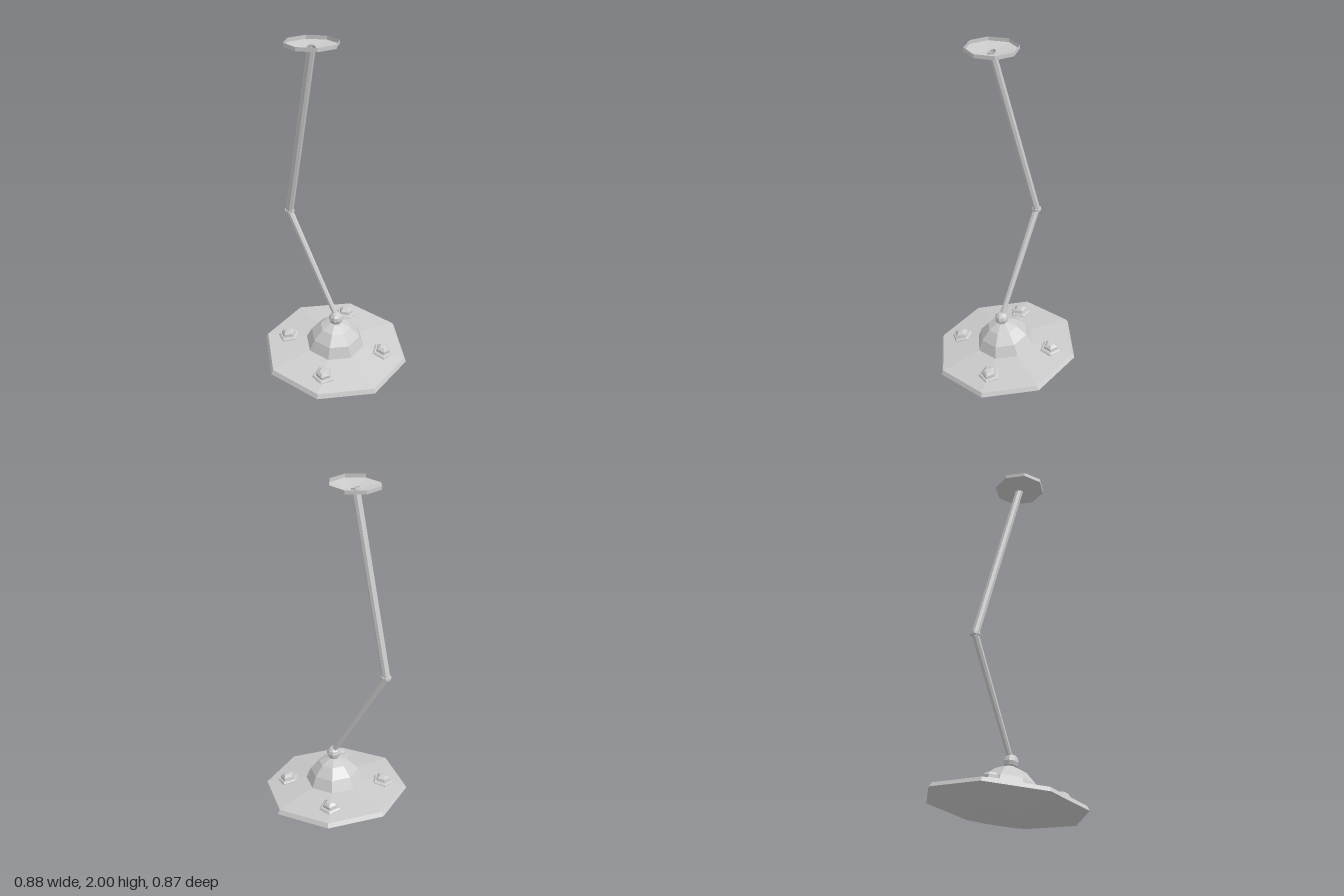
import * as THREE from 'three';

const material = new THREE.MeshStandardMaterial({ color: 0xcccccc, flatShading: true, side: THREE.DoubleSide });
const UP = new THREE.Vector3(0, 1, 0);

function part(name, geometry) {
  const mesh = new THREE.Mesh(geometry, material);
  mesh.name = name;
  return mesh;
}

// faceted turned shape from [radius, height] pairs, listed bottom to top
function turned(name, profile, sides) {
  return part(name, new THREE.LatheGeometry(profile.map(([r, y]) => new THREE.Vector2(r, y)), sides));
}

// hollow tapered tube between two points
function rod(name, from, to, r0, r1) {
  const dir = to.clone().sub(from);
  const mesh = part(name, new THREE.CylinderGeometry(r1, r0, dir.length(), 8, 1, true));
  mesh.position.copy(from).addScaledVector(dir, 0.5);
  mesh.quaternion.setFromUnitVectors(UP, dir.normalize());
  return mesh;
}

export function createModel() {
  const model = new THREE.Group();
  model.name = 'hangingSaucerLamp';

  // tilted saucer shade with everything fixed to it
  const shade = new THREE.Group();
  shade.name = 'saucerShade';
  shade.position.y = 0.095;
  shade.quaternion.setFromUnitVectors(UP, new THREE.Vector3(0.043, 1, 0.115).normalize());
  shade.rotateY(-0.07);
  model.add(shade);

  shade.add(turned('saucerBody', [[0, -0.07], [0.2, -0.07], [0.441, -0.012], [0.427, 0.013], [0.17, 0.053]], 8));
  shade.add(turned('dome', [[0.178, 0.05], [0.147, 0.118], [0.092, 0.174], [0.036, 0.2], [0, 0.203]], 8));

  const ball = part('ballJoint', new THREE.SphereGeometry(0.042, 8, 6));
  ball.position.y = 0.23;
  shade.add(ball);

  // four five-sided pods lying on the sloping top
  for (let i = 0; i < 4; i++) {
    const arm = new THREE.Group();
    arm.name = 'podMount';
    arm.rotation.y = i * Math.PI / 2;
    const pod = new THREE.Group();
    pod.name = 'pod';
    pod.position.set(0, 0.03, 0.292);
    pod.rotation.x = 0.155;
    pod.add(turned('podBase', [[0.065, -0.004], [0.065, 0.006], [0.055, 0.015], [0, 0.015]], 5));
    pod.add(turned('podDome', [[0.045, 0.012], [0.041, 0.032], [0.024, 0.046], [0, 0.048]], 5));
    arm.add(pod);
    shade.add(arm);
  }

  // jointed stem
  const foot = new THREE.Vector3(0.008, 0.345, 0.023);
  const knee = new THREE.Vector3(-0.286, 0.95, -0.108);
  const head = new THREE.Vector3(-0.102, 1.972, 0.105);
  model.add(rod('lowerStem', foot, knee, 0.016, 0.02));
  model.add(rod('upperStem', knee, head, 0.023, 0.023));
  const joint = part('stemJoint', new THREE.CylinderGeometry(0.029, 0.029, 0.014, 8));
  joint.position.copy(knee);
  model.add(joint);

  // shallow open ceiling dish
  const dish = turned('ceilingDish', [[0.024, 1.963], [0.05, 1.965], [0.146, 1.979], [0.146, 2]], 8);
  dish.position.set(head.x, 0, head.z);
  dish.rotation.y = Math.PI / 8;
  model.add(dish);

  return model;
}
